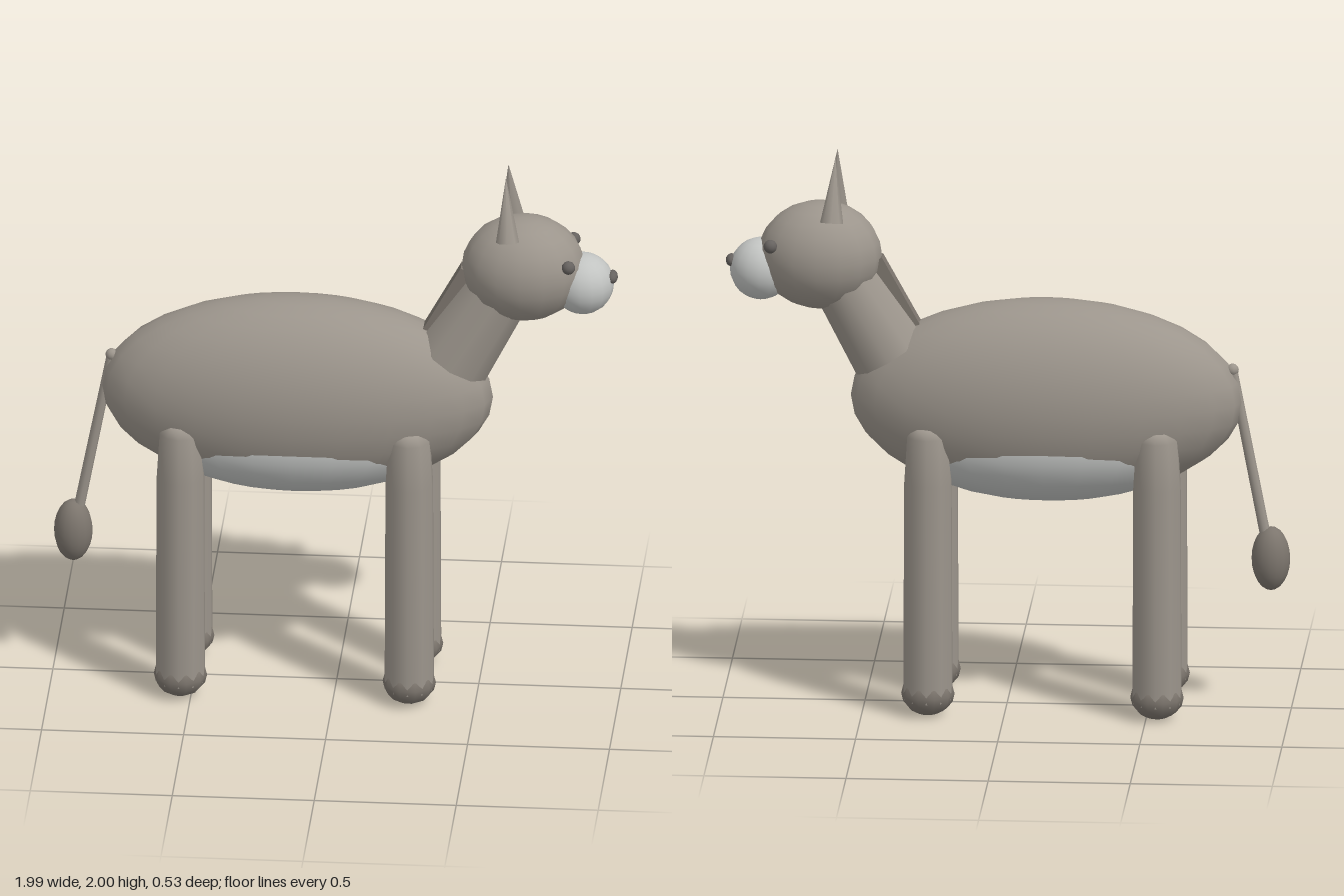
import * as THREE from 'three';

const mat = (name, color) => {
  const m = new THREE.MeshStandardMaterial({ color });
  m.name = name;
  return m;
};

export function createModel() {
  const model = new THREE.Group();
  model.name = 'donkey';
  const coat = mat('coat', 0x9c958c);
  const pale = mat('pale', 0xc2c4c2);
  const dark = mat('dark', 0x7d766e);
  const black = mat('eyeAndNose', 0x66625f);

  const add = (name, geo, material, parent = model) => {
    const mesh = new THREE.Mesh(geo, material);
    mesh.name = name;
    parent.add(mesh);
    return mesh;
  };
  const ellipsoid = (name, pos, radii, material, w = 24, h = 16, parent = model) => {
    const g = new THREE.SphereGeometry(1, w, h).scale(...radii);
    const mesh = add(name, g, material, parent);
    mesh.position.set(...pos);
    return mesh;
  };
  // Places a y-aligned geometry so its centre and axis follow a to b
  const along = (mesh, a, b) => {
    const va = new THREE.Vector3(...a), vb = new THREE.Vector3(...b);
    mesh.position.copy(va).lerp(vb, 0.5);
    mesh.quaternion.setFromUnitVectors(new THREE.Vector3(0, 1, 0), vb.sub(va).normalize());
    return mesh;
  };
  const length = (a, b) => new THREE.Vector3(...a).distanceTo(new THREE.Vector3(...b));
  const rod = (name, a, b, ra, rb, sides, material) =>
    along(add(name, new THREE.CylinderGeometry(rb, ra, length(a, b), sides), material), a, b);

  // Body and pale belly
  ellipsoid('body', [-0.14, 1.12, 0], [0.69, 0.36, 0.265], coat);
  ellipsoid('belly', [-0.14, 0.98, 0], [0.545, 0.225, 0.243], pale);

  // Legs with rounded tops and hooves
  const legProfile = [[0.086, 0.06], [0.089, 0.1], [0.086, 0.85], [0.075, 1.02], [0.05, 1.05], [0, 1.06]]
    .map(([r, y]) => new THREE.Vector2(r, y));
  for (const [end, x] of [['front', 0.268], ['rear', -0.538]]) {
    for (const side of [1, -1]) {
      const leg = new THREE.Group();
      leg.name = `${end}Leg`;
      leg.position.set(x, 0, side * 0.162);
      add('legShaft', new THREE.LatheGeometry(legProfile, 10), coat, leg);
      ellipsoid('hoof', [0, 0.08, 0], [0.094, 0.076, 0.094], dark, 10, 8, leg);
      model.add(leg);
    }
  }

  // Neck with a narrow mane along its back
  const neckBase = [0.41, 1.275, 0], neckTop = [0.6, 1.585, 0];
  rod('neck', neckBase, neckTop, 0.143, 0.115, 10, coat);
  const mane = add('mane', new THREE.BoxGeometry(0.06, 0.33, 0.06), dark);
  along(mane, [0.305, 1.325, 0], [0.465, 1.615, 0]);

  // Head
  ellipsoid('head', [0.658, 1.63, 0], [0.218, 0.192, 0.181], coat, 16, 12);
  ellipsoid('muzzle', [0.866, 1.575, 0], [0.11, 0.11, 0.11], pale, 16, 12);
  ellipsoid('nose', [0.97, 1.603, 0], [0.02, 0.022, 0.035], black, 12, 8);
  for (const side of [1, -1]) {
    ellipsoid('eye', [0.825, 1.688, side * 0.12], [0.024, 0.024, 0.024], black, 12, 8);
    rod('ear', [0.61, 1.775, side * 0.112], [0.6, 2, side * 0.055], 0.041, 0, 8, coat);
  }

  // Tail
  ellipsoid('tailRoot', [-0.793, 1.235, 0], [0.022, 0.022, 0.022], coat, 10, 8);
  rod('tail', [-0.915, 0.6, 0], [-0.793, 1.235, 0], 0.019, 0.017, 8, coat);
  ellipsoid('tailTuft', [-0.928, 0.55, 0], [0.068, 0.115, 0.068], dark, 16, 12);

  return model;
}
